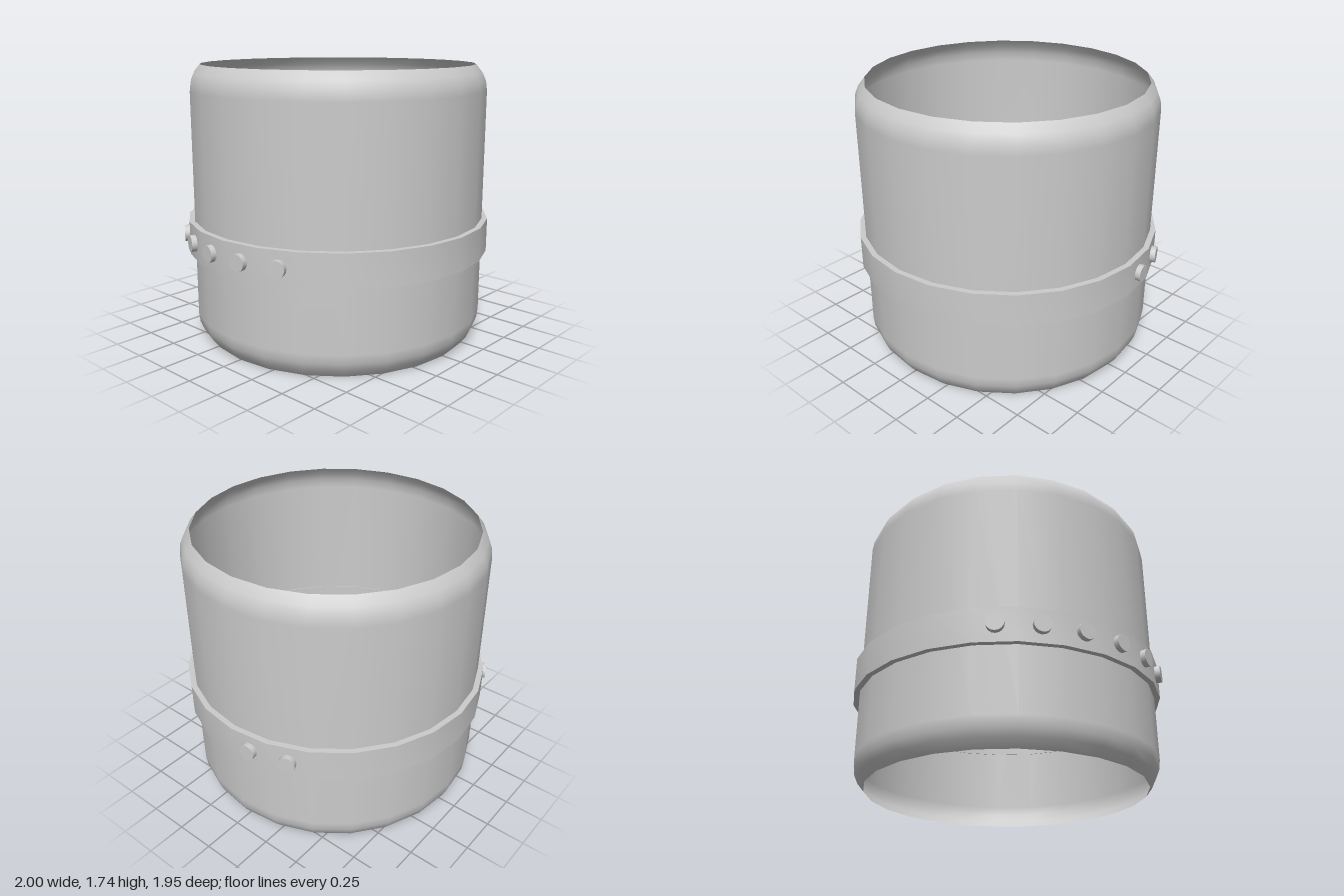
import * as THREE from 'three';
import { toCreasedNormals } from 'three/addons/utils/BufferGeometryUtils.js';

const SIDES = 24;
const material = new THREE.MeshStandardMaterial({ color: 0xcccccc });
const openMaterial = new THREE.MeshStandardMaterial({ color: 0xcccccc, side: THREE.DoubleSide });

function lathe(points) {
  return new THREE.LatheGeometry(points.map(([r, y]) => new THREE.Vector2(r, y)), SIDES);
}

function addMesh(parent, name, geometry, mat = material) {
  const mesh = new THREE.Mesh(geometry, mat);
  mesh.name = name;
  parent.add(mesh);
  return mesh;
}

export function createModel() {
  const model = new THREE.Group();
  model.name = 'bandedSleeve';

  // Thin open tube with both ends rounded inwards
  const height = 1.74;
  const lip = [[0.87, 0], [0.91, 0.05], [0.932, 0.1], [0.94, 0.16]];
  const upperLip = lip.map(([r, y]) => [r, height - y]).reverse();
  addMesh(model, 'sleeve', lathe([...lip, ...upperLip]), openMaterial);

  // Raised band around the tube
  const band = lathe([[0.935, 0.56], [0.975, 0.56], [0.975, 0.77], [0.935, 0.77], [0.935, 0.56]]);
  addMesh(model, 'band', toCreasedNormals(band, 0.6));

  // Rivets, each centred on a facet of the band (degrees from +x towards +z)
  const rivets = new THREE.Group();
  rivets.name = 'rivets';
  model.add(rivets);
  for (const degrees of [-7.5, -22.5, 157.5, 172.5, 187.5, 202.5, 217.5, 232.5]) {
    const angle = THREE.MathUtils.degToRad(degrees);
    const geometry = new THREE.CylinderGeometry(0.052, 0.052, 0.05, 16);
    geometry.rotateZ(-Math.PI / 2).translate(0.975, 0.665, 0).rotateY(-angle);
    addMesh(rivets, 'rivet', geometry);
  }

  return model;
}
